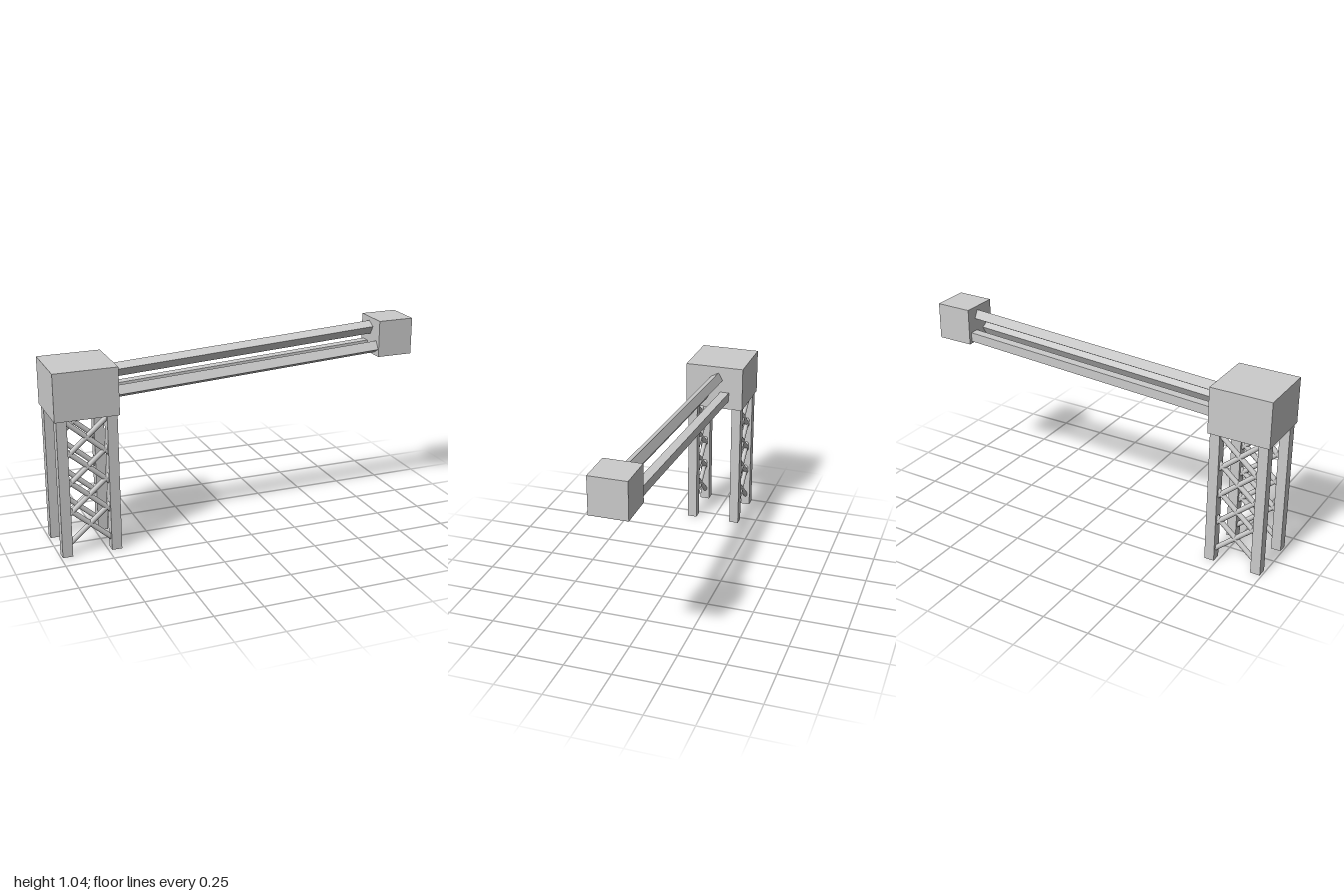
import * as THREE from 'three';

const grey = new THREE.MeshStandardMaterial({ color: 0xcccccc });

function add(parent, name, geometry, x, y, z) {
  const mesh = new THREE.Mesh(geometry, grey);
  mesh.name = name;
  mesh.position.set(x, y, z);
  parent.add(mesh);
  return mesh;
}

export function createModel() {
  const model = new THREE.Group();
  model.name = 'towerWithBoom';

  // Tower: housing, four legs and cross-braced front and back faces
  const tower = new THREE.Group();
  tower.name = 'tower';
  tower.position.x = -0.835;
  model.add(tower);
  add(tower, 'towerHousing', new THREE.BoxGeometry(0.33, 0.248, 0.33), 0, 0.849, 0);

  const spread = 0.129;
  const legGeometry = new THREE.BoxGeometry(0.053, 0.74, 0.053);
  const rise = 0.205, run = 2 * spread - 0.02;
  const braceGeometry = new THREE.CylinderGeometry(0.0135, 0.0135, Math.hypot(rise, run), 12);
  for (const side of [-1, 1]) {
    for (const end of [-1, 1]) {
      add(tower, 'leg', legGeometry, end * spread, 0.37, side * spread);
      for (let i = 0; i < 4; i++) {
        const brace = add(tower, 'crossBrace', braceGeometry, 0, 0.156 + i * 0.155, side * spread);
        brace.rotation.z = end * Math.atan2(run, rise);
      }
    }
  }

  // Boom: three square beams spaced evenly around a slightly rising axis
  const boom = new THREE.Group();
  boom.name = 'boom';
  boom.position.set(0.06, 0.878, -0.008);
  boom.rotation.z = Math.atan(0.0544);
  model.add(boom);
  const beamGeometry = new THREE.BoxGeometry(1.6, 0.05, 0.05);
  for (let i = 0; i < 3; i++) {
    const turn = i * Math.PI * 2 / 3;
    const angle = THREE.MathUtils.degToRad(216) + turn;
    const beam = add(boom, 'boomBeam', beamGeometry, 0, 0.066 * Math.sin(angle), 0.066 * Math.cos(angle));
    beam.rotation.x = -turn;
  }

  // Block at the far end of the boom
  add(model, 'boomHead', new THREE.BoxGeometry(0.197, 0.197, 0.197), 0.9015, 0.941, -0.006);

  return model;
}
